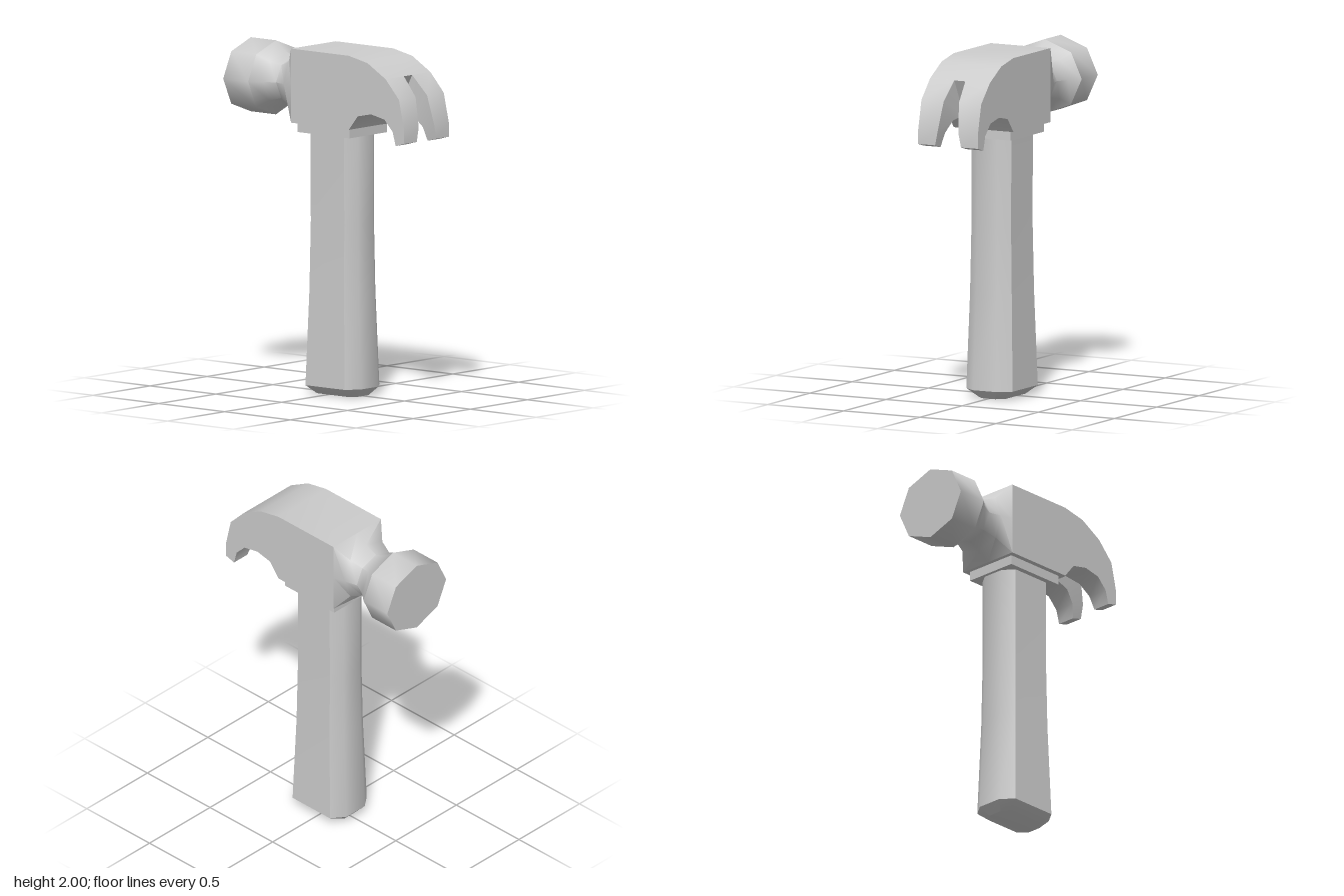
import * as THREE from 'three';
import { mergeGeometries, toCreasedNormals } from 'three/addons/utils/BufferGeometryUtils.js';

// Skin a row of equal-sized rings (counter-clockwise about the direction of travel), capped at both ends
function loft(rings) {
  const n = rings[0].length;
  const pos = rings.flat(2);
  const index = [];
  for (let i = 0; i < rings.length - 1; i++) {
    for (let j = 0; j < n; j++) {
      const k = (j + 1) % n;
      const a = i * n + j, b = i * n + k, c = b + n, d = a + n;
      index.push(a, b, c, a, c, d);
    }
  }
  const last = (rings.length - 1) * n;
  for (let j = 1; j < n - 1; j++) {
    index.push(0, j + 1, j, last, last + j, last + j + 1);
  }
  const geo = new THREE.BufferGeometry();
  geo.setAttribute('position', new THREE.Float32BufferAttribute(pos, 3));
  geo.setIndex(index);
  return geo.toNonIndexed();
}

const crease = (geo, degrees) => toCreasedNormals(geo, THREE.MathUtils.degToRad(degrees));

export function createModel() {
  const group = new THREE.Group();
  const grey = new THREE.MeshStandardMaterial({ color: 0xcccccc });
  grey.name = 'grey';

  function add(name, geo) {
    const mesh = new THREE.Mesh(geo, grey);
    mesh.name = name;
    group.add(mesh);
    return mesh;
  }

  // Handle: chamfered octagon, flared to the butt; [y, half width, half depth]
  const handleRing = ([y, w, d]) => [
    [0.5, 1], [1, 0.72], [1, -0.72], [0.5, -1],
    [-0.5, -1], [-1, -0.72], [-1, 0.72], [-0.5, 1],
  ].map(([x, z]) => [x * w, y, z * d + 0.028]);
  const handle = [
    [0, 0.09, 0.16], [0.05, 0.152, 0.207], [0.6, 0.137, 0.183],
    [1.0, 0.13, 0.177], [1.54, 0.132, 0.176],
  ];
  add('handle', crease(loft(handle.map(handleRing)), 45));

  // Collar between handle and head
  add('collar', new THREE.BoxGeometry(0.33, 0.065, 0.392)).position.set(0, 1.5475, 0.028);

  // Head block and claw: slices [outer z, outer y, inner z, inner y, half notch width]
  const W = 0.196;
  const slices = [
    [-0.192, 2, -0.192, 1.57, 0],
    [0.246, 2, 0.246, 1.57, 0],
    [0.39, 1.97, 0.315, 1.655, 0],
    [0.527, 1.89, 0.416, 1.676, 0.036],
    [0.628, 1.78, 0.517, 1.655, 0.05],
    [0.667, 1.61, 0.58, 1.59, 0.068],
    [0.667, 1.528, 0.602, 1.51, 0.085],
  ];
  const slab = ([zo, yo, zi, yi], x0, x1) =>
    [[x0, yi, zi], [x1, yi, zi], [x1, yo, zo], [x0, yo, zo]];
  const block = loft(slices.slice(0, 4).map((s) => slab(s, -W, W)));
  const tines = slices.slice(3);
  const leftTine = loft(tines.map((s) => slab(s, s[4], W)));
  const rightTine = loft(tines.map((s) => slab(s, -W, -s[4])));
  add('clawHead', crease(mergeGeometries([block, leftTine, rightTine]), 45));

  // Eight-sided ring about the head axis; dx, dy place the diagonal corners
  const headRing = (z, rx, ry, dx = rx * 0.707, dy = ry * 0.707) => [
    [rx, 0], [dx, dy], [0, ry], [-dx, dy], [-rx, 0], [-dx, -dy], [0, -ry], [dx, -dy],
  ].map(([x, y]) => [x, y + 1.785, z]);

  // Neck: waisted, blending from the round striking end into the square block
  add('neck', crease(loft([
    headRing(-0.477, 0.243, 0.215),
    headRing(-0.41, 0.188, 0.16),
    headRing(-0.34, 0.157, 0.135),
    headRing(-0.265, 0.176, 0.168, 0.132, 0.125),
    headRing(-0.192, W, 0.215, W, 0.215),
  ]), 55));

  // Striking end
  add('strikingFace', crease(loft([
    headRing(-0.667, 0.243, 0.215),
    headRing(-0.477, 0.243, 0.215),
  ]), 55));

  return group;
}
